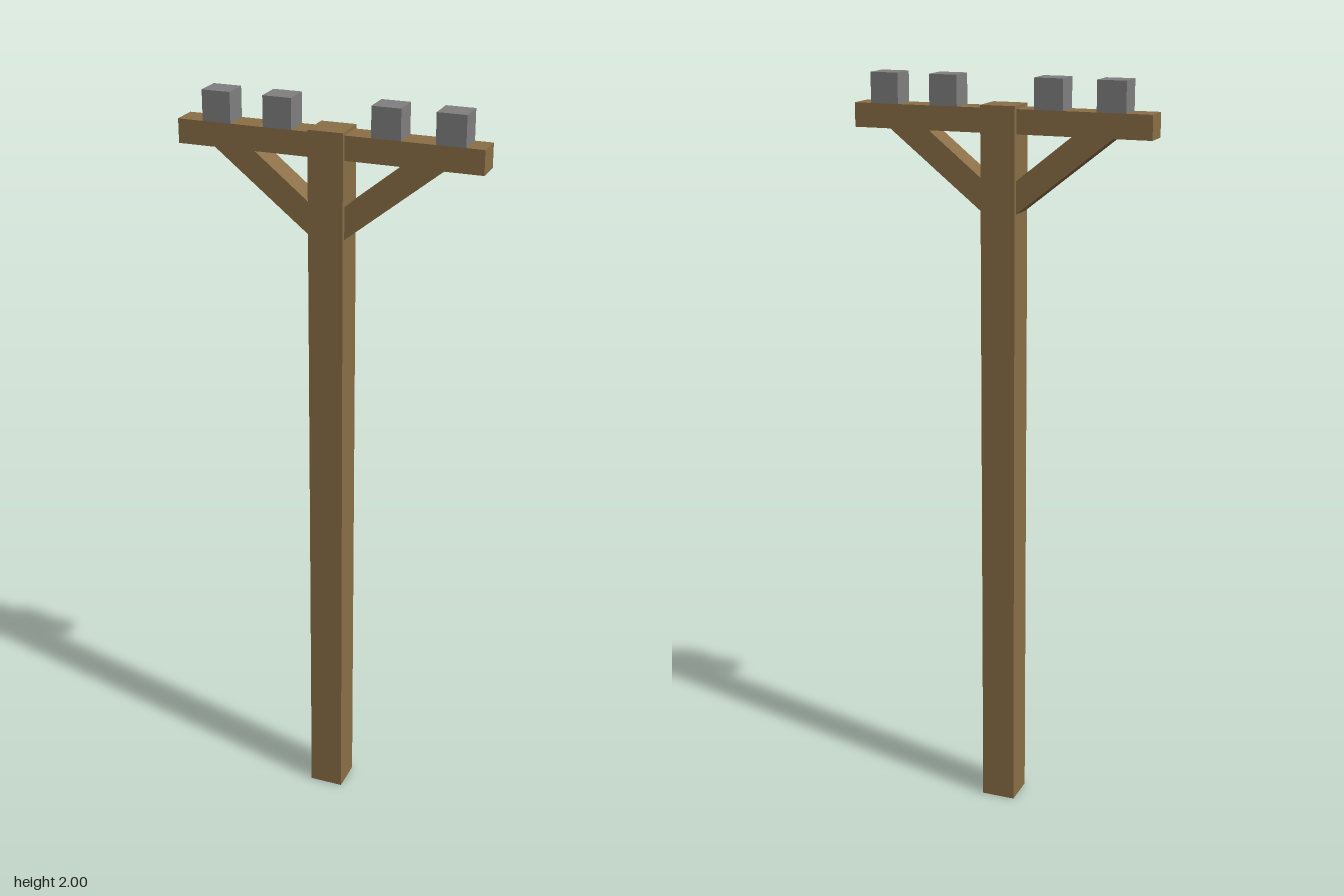
import * as THREE from 'three';

export function createModel() {
  const model = new THREE.Group();
  const wood = new THREE.MeshStandardMaterial({ color: 0x8b6f47 });
  const grey = new THREE.MeshStandardMaterial({ color: 0x808080 });

  function add(name, geometry, material, x = 0, y = 0, z = 0) {
    const mesh = new THREE.Mesh(geometry, material);
    mesh.name = name;
    mesh.position.set(x, y, z);
    model.add(mesh);
  }

  const depth = 0.07;
  const armBottom = 1.86;
  const armTop = 1.922;

  // Square post and the crossarm through its top
  add('post', new THREE.BoxGeometry(0.092, 1.93, 0.092), wood, 0, 0.965, 0);
  add('crossarm', new THREE.BoxGeometry(0.794, armTop - armBottom, depth), wood, 0, (armTop + armBottom) / 2, 0);

  // Diagonal braces, mirrored, cut flush against post and crossarm
  for (const side of [1, -1]) {
    const outline = [[0.046, 1.66], [0.298, armBottom], [0.191, armBottom], [0.046, 1.744]];
    const shape = new THREE.Shape(outline.map(([x, y]) => new THREE.Vector2(side * x, y)));
    const brace = new THREE.ExtrudeGeometry(shape, { depth, bevelEnabled: false });
    add(side > 0 ? 'leftBrace' : 'rightBrace', brace, wood, 0, 0, -depth / 2);
  }

  // Insulator blocks along the crossarm
  const height = 2 - armTop;
  [-0.292, -0.13, 0.151, 0.313].forEach((x, i) => {
    add(`insulator${i + 1}`, new THREE.BoxGeometry(0.075, height, depth), grey, x, armTop + height / 2, 0);
  });

  return model;
}
